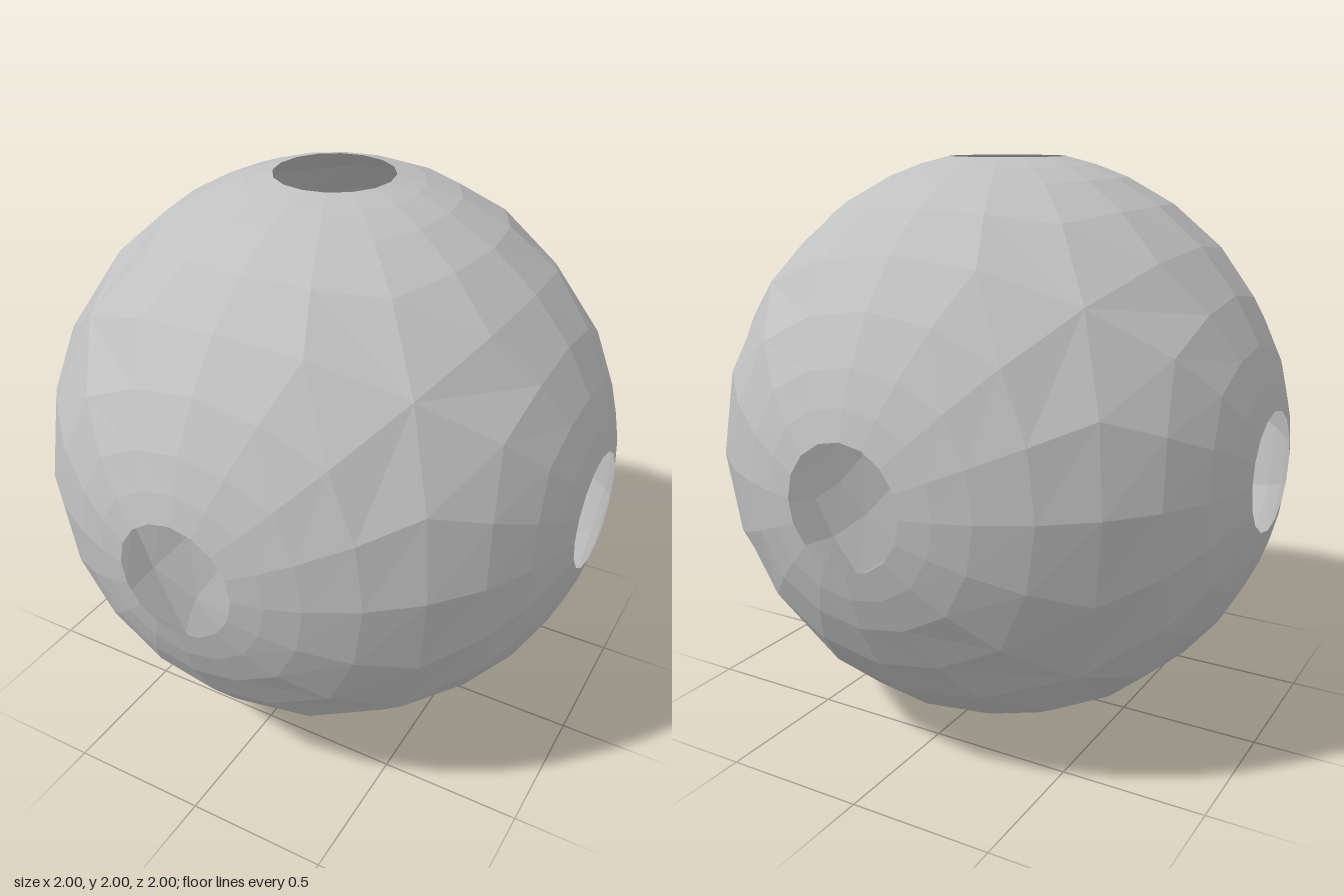
import * as THREE from 'three';

const R = 1.0208;      // sphere radius
const SIDES = 16;      // sides of each round opening
const RINGS = [11.6, 17.3, 24, 34, 45];     // polar angles of the rings, in degrees
const STRETCH = [0, 0.05, 0.15, 0.32, 1];   // how far each ring follows the square patch border

// One sixth of the shell, facing +z: rings blend from a round opening to a square border
function patchGeometry() {
  const pos = [], index = [];
  RINGS.forEach((deg, r) => {
    for (let s = 0; s < SIDES; s++) {
      const a = (s / SIDES) * Math.PI * 2;
      const border = Math.atan(1 / Math.max(Math.abs(Math.cos(a)), Math.abs(Math.sin(a))));
      const polar = THREE.MathUtils.degToRad(deg) + (border - Math.PI / 4) * STRETCH[r];
      pos.push(
        R * Math.sin(polar) * Math.cos(a),
        R * Math.sin(polar) * Math.sin(a),
        R * Math.cos(polar)
      );
    }
  });
  for (let r = 0; r < RINGS.length - 1; r++) {
    for (let s = 0; s < SIDES; s++) {
      const t = (s + 1) % SIDES;
      const a = r * SIDES + s, b = r * SIDES + t;
      const c = a + SIDES, d = b + SIDES;
      index.push(a, c, d, a, d, b);
    }
  }
  const geo = new THREE.BufferGeometry();
  geo.setAttribute('position', new THREE.Float32BufferAttribute(pos, 3));
  geo.setIndex(index);
  const flat = geo.toNonIndexed();
  flat.computeVertexNormals();
  return flat;
}

export function createModel() {
  const group = new THREE.Group();
  group.name = 'hollowBall';
  const grey = new THREE.MeshStandardMaterial({
    color: 0xc0c0c0, flatShading: true, side: THREE.DoubleSide,
  });
  grey.name = 'grey';

  // Six identical patches, each with an opening in its middle
  const geo = patchGeometry();
  const H = Math.PI / 2;
  const patches = {
    front: [0, 0], left: [0, H], back: [0, 2 * H], right: [0, -H], top: [-H, 0], bottom: [H, 0],
  };
  for (const [name, [rx, ry]] of Object.entries(patches)) {
    const mesh = new THREE.Mesh(geo, grey);
    mesh.name = name + 'Shell';
    mesh.rotation.set(rx, ry, 0);
    mesh.position.y = 1;
    group.add(mesh);
  }
  return group;
}
